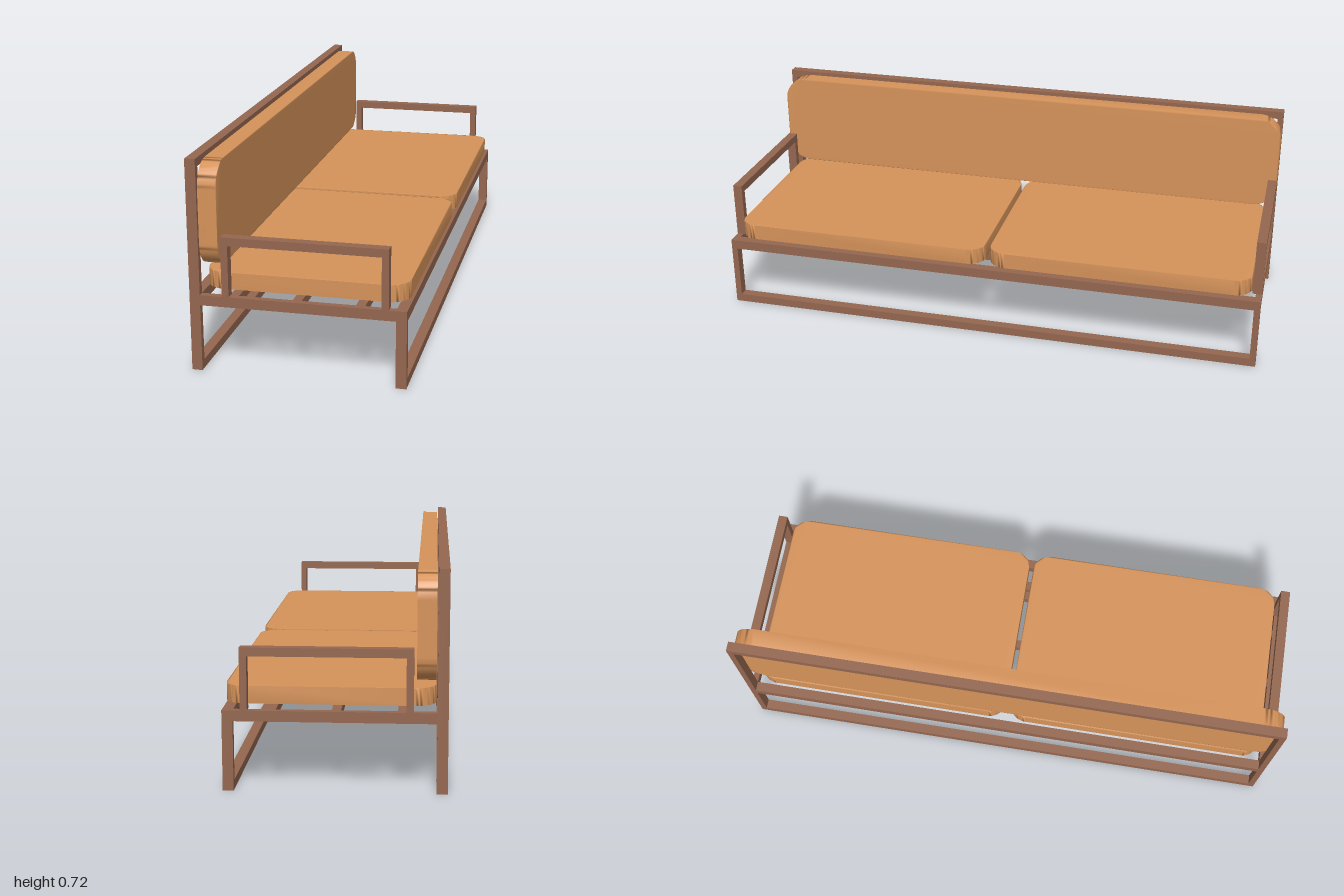
import * as THREE from 'three';
import { mergeVertices } from 'three/addons/utils/BufferGeometryUtils.js';

const frameBrown = new THREE.MeshStandardMaterial({ color: 0x94674f });
frameBrown.name = 'frameBrown';
const cushionTan = new THREE.MeshStandardMaterial({ color: 0xd6935a });
cushionTan.name = 'cushionTan';

// Box given by its limits on each axis
function bar(parent, name, x0, x1, y0, y1, z0, z1) {
  const mesh = new THREE.Mesh(new THREE.BoxGeometry(x1 - x0, y1 - y0, z1 - z0), frameBrown);
  mesh.position.set((x0 + x1) / 2, (y0 + y1) / 2, (z0 + z1) / 2);
  mesh.name = name;
  parent.add(mesh);
}

// Slab with four rounded corners and soft, shared normals, centred on the origin
function cushionGeometry(w, h, depth, r) {
  const a = w / 2, b = h / 2;
  const s = new THREE.Shape();
  s.moveTo(-a + r, -b);
  s.lineTo(a - r, -b);
  s.absarc(a - r, -b + r, r, -Math.PI / 2, 0);
  s.lineTo(a, b - r);
  s.absarc(a - r, b - r, r, 0, Math.PI / 2);
  s.lineTo(-a + r, b);
  s.absarc(-a + r, b - r, r, Math.PI / 2, Math.PI);
  s.lineTo(-a, -b + r);
  s.absarc(-a + r, -b + r, r, Math.PI, Math.PI * 1.5);
  let g = new THREE.ExtrudeGeometry(s, { depth, bevelEnabled: false, curveSegments: 8 });
  g.translate(0, 0, -depth / 2);
  g.deleteAttribute('normal');
  g.deleteAttribute('uv');
  g = mergeVertices(g, 1e-4);
  g.computeVertexNormals();
  return g;
}

export function createModel() {
  const sofa = new THREE.Group();
  sofa.name = 'sofa';
  const X = 0.357, IN = 0.322, T = 0.022;   // outer x, inner x, bar thickness along z

  const frame = new THREE.Group();
  frame.name = 'frame';
  sofa.add(frame);

  // Long rails
  bar(frame, 'backFloorRail', -X, -IN, 0, 0.03, -1 + T, 1 - T);
  bar(frame, 'frontFloorRail', IN, X, 0, 0.03, -1 + T, 1 - T);
  bar(frame, 'backSeatRail', -X, -IN, 0.228, 0.263, -1 + T, 1 - T);
  bar(frame, 'frontSeatRail', IN, X, 0.228, 0.263, -1 + T, 1 - T);
  bar(frame, 'topRail', -X, -IN, 0.689, 0.717, -1 + T, 1 - T);

  // Seat slats
  for (const x of [-0.213, -0.004, 0.203]) {
    bar(frame, 'seatSlat', x - 0.015, x + 0.015, 0.23, 0.261, -1 + T, 1 - T);
  }

  // Posts, legs, end rails and arms, mirrored at both ends
  for (const side of [-1, 1]) {
    const end = new THREE.Group();
    end.name = side > 0 ? 'nearEnd' : 'farEnd';
    const put = (name, x0, x1, y0, y1, t) =>
      bar(end, name, x0, x1, y0, y1, side > 0 ? 1 - t : -1, side > 0 ? 1 : -1 + t);
    put('backPost', -X, -IN, 0, 0.717, T);
    put('frontLeg', IN, X, 0, 0.263, T);
    put('endRail', -IN, IN, 0.228, 0.263, T);
    put('armBackPost', -0.248, -0.225, 0.263, 0.437, 0.034);
    put('armFrontPost', 0.276, 0.299, 0.263, 0.437, 0.034);
    put('armTop', -0.248, 0.299, 0.437, 0.465, 0.034);
    frame.add(end);
  }

  // Seat cushions, rounded in plan
  const seatGeometry = cushionGeometry(0.671, 0.955, 0.057, 0.065);
  seatGeometry.rotateX(-Math.PI / 2);
  for (const side of [-1, 1]) {
    const seat = new THREE.Mesh(seatGeometry, cushionTan);
    seat.name = 'seatCushion';
    seat.position.set(0.0175, 0.3055, side * 0.4865);
    sofa.add(seat);
  }

  // Back cushion, rounded as seen from the seat
  const backGeometry = cushionGeometry(2, 0.351, 0.061, 0.085);
  backGeometry.rotateY(Math.PI / 2);
  const back = new THREE.Mesh(backGeometry, cushionTan);
  back.name = 'backCushion';
  back.position.set(-0.2875, 0.5285, 0);
  sofa.add(back);

  return sofa;
}
